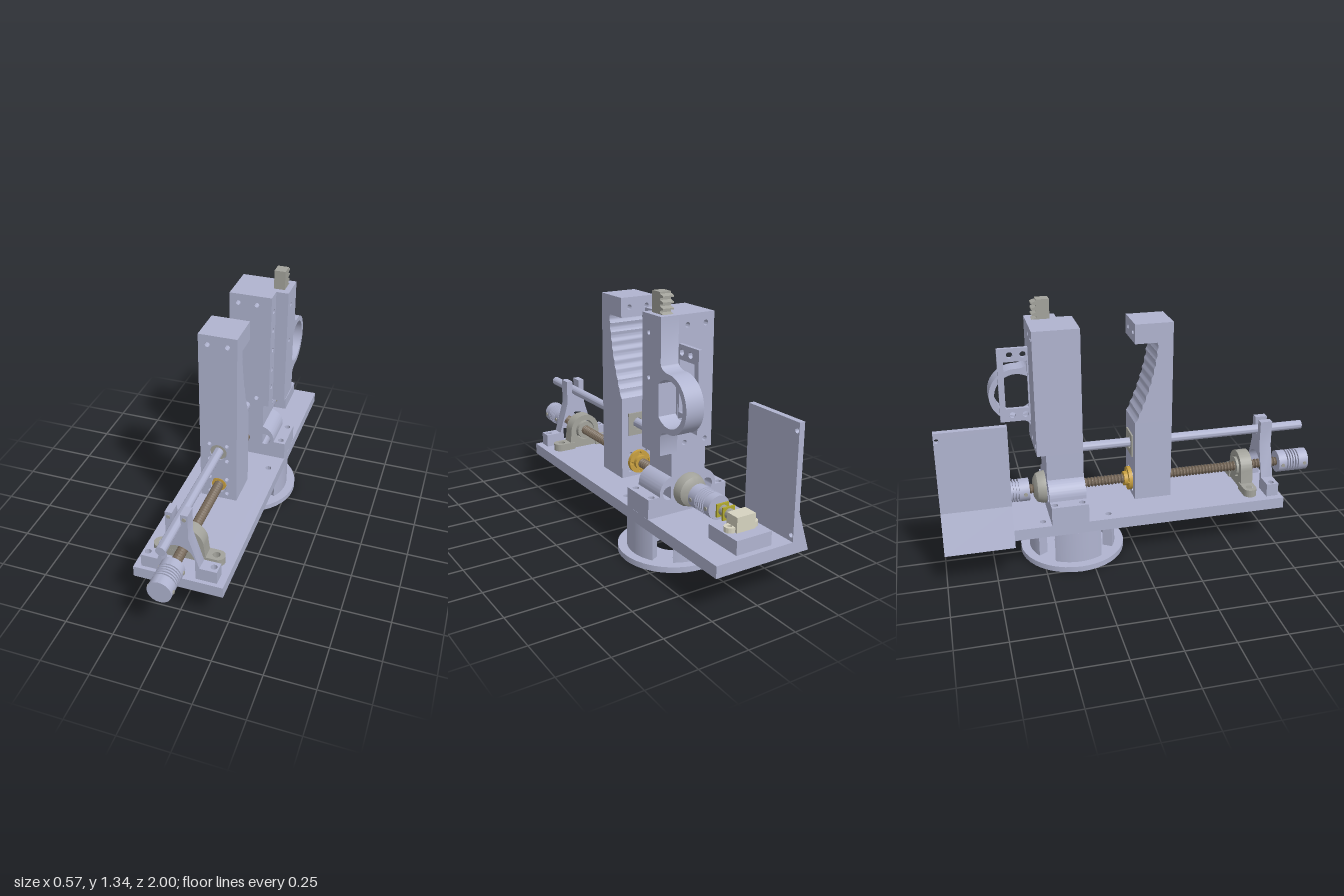
import * as THREE from 'three';
import { toCreasedNormals, mergeGeometries } from 'three/addons/utils/BufferGeometryUtils.js';

const BODY = 0xb0b4d0, STEEL = 0xa3a39c, SCREW = 0x77695a, CREAM = 0xd6d3c0, BRASS = 0xc8a040, YELLOW = 0xb0a82c;
const CX = 0.007, ROD_Y = 0.575, SCREW_Y = 0.365;

export function createModel() {
  const root = new THREE.Group();

  const add = (name, geo, color = BODY) => {
    const m = new THREE.Mesh(toCreasedNormals(geo, 0.6), new THREE.MeshStandardMaterial({ color }));
    m.name = name;
    root.add(m);
    return m;
  };
  const poly = (pts) => new THREE.Shape(pts.map(([a, b]) => new THREE.Vector2(a, b)));
  const rect = (a0, a1, b0, b1) => poly([[a0, b0], [a1, b0], [a1, b1], [a0, b1]]);
  const disc = (a, b, r) => new THREE.Shape().absarc(a, b, r, 0, Math.PI * 2, false);
  const drill = (shape, r, pts) => {
    pts.forEach(([a, b]) => shape.holes.push(new THREE.Path().absarc(a, b, r, 0, Math.PI * 2, true)));
    return shape;
  };
  // Extrude along an axis; for x and y the shape uses -z as its second direction
  const ext = (shape, axis, from, to) => {
    const g = new THREE.ExtrudeGeometry(shape, { depth: to - from, bevelEnabled: false, curveSegments: 20 });
    g.translate(0, 0, from);
    if (axis === 'x') g.rotateY(Math.PI / 2);
    if (axis === 'y') g.rotateX(-Math.PI / 2);
    return g;
  };
  const box = (x0, x1, y0, y1, z0, z1) =>
    new THREE.BoxGeometry(x1 - x0, y1 - y0, z1 - z0).translate((x0 + x1) / 2, (y0 + y1) / 2, (z0 + z1) / 2);
  // Turned part along z from [radius, z] pairs, z rising
  const turn = (pts, y, x = CX) =>
    new THREE.LatheGeometry(pts.map(([r, z]) => new THREE.Vector2(r, z)), 32).rotateX(Math.PI / 2).translate(x, y, 0);
  const bar = (r, z0, z1, y, x) => turn([[0, z0], [r, z0], [r, z1], [0, z1]], y, x);

  // Round foot: drilled flange and four curved posts
  const bolts = [...Array(6)].map((_, i) => [CX + 0.2 * Math.cos(i * Math.PI / 3 + 0.5), 0.325 + 0.2 * Math.sin(i * Math.PI / 3 + 0.5)]);
  add('footFlange', ext(drill(drill(disc(CX, 0.325, 0.275), 0.095, [[CX, 0.325]]), 0.011, bolts), 'y', 0, 0.03));
  for (let i = 0; i < 4; i++) {
    const a = i * Math.PI / 2, h = 0.56;
    const post = new THREE.Shape().absarc(CX, 0.325, 0.228, a - h, a + h, false).absarc(CX, 0.325, 0.175, a + h, a - h, true);
    add('footPost', ext(post, 'y', 0.03, 0.2));
  }

  // Base plate
  add('basePlate', ext(drill(rect(-0.22, 0.235, -0.79, 1), 0.016,
    [[-0.165, 0.5], [-0.165, 0.16], [0.175, 0.16], [-0.19, 0.44], [-0.19, 0.3], [0.205, 0.44], [0.205, 0.3],
      [-0.16, -0.73], [0.173, -0.73]]), 'y', 0.2, 0.26));

  // Moving jaw: drilled lower block, scalloped grip, drilled head
  const around = (y) => [[-1, -1], [1, -1], [1, 1], [-1, 1]].map(([a, b]) => [CX + a * 0.046, y + b * 0.046]);
  const jawLow = drill(rect(-0.09, 0.105, 0.285, 0.72), 0.045, [[CX, ROD_Y], [CX, SCREW_Y]]);
  drill(jawLow, 0.011, [...around(ROD_Y), ...around(SCREW_Y)]);
  const grip = [[-0.195, 1.14], [-0.195, 0.72]];
  for (let i = 0; i <= 64; i++) {
    const t = i / 64;
    grip.push([-0.112 * (1 - (1 - t) ** 1.7) - 0.007 * Math.abs(Math.sin(t * 9 * Math.PI)), 0.72 + 0.42 * t]);
  }
  add('jawLowerBlock', ext(jawLow, 'z', 0, 0.195));
  add('jawGrip', ext(poly(grip), 'x', -0.09, 0.105));
  add('jawHead', ext(drill(rect(-0.09, 0.105, 1.14, 1.24), 0.013, [[CX - 0.05, 1.19], [CX + 0.05, 1.19]]), 'z', 0, 0.195));
  add('rodBushing', ext(drill(disc(CX, ROD_Y, 0.043), 0.027, [[CX, ROD_Y]]), 'z', 0.005, 0.19), STEEL);
  add('bushingPlate', ext(drill(rect(CX - 0.06, CX + 0.06, ROD_Y - 0.06, ROD_Y + 0.06), 0.034, [[CX, ROD_Y]]), 'z', -0.008, 0), STEEL);
  add('screwNutFlange', ext(drill(disc(CX, SCREW_Y, 0.062), 0.008,
    [...Array(4)].map((_, i) => [CX + 0.048 * Math.cos(i * Math.PI / 2), SCREW_Y + 0.048 * Math.sin(i * Math.PI / 2)])), 'z', -0.02, 0), BRASS);
  add('screwNutBody', bar(0.038, -0.04, 0.19, SCREW_Y), BRASS);

  // Guide rod and threaded screw
  add('guideRod', bar(0.024, -0.3, 0.96, ROD_Y));
  const thread = [[0, -0.56]];
  for (let z = -0.56; z < 0.84; z += 0.018) thread.push([0.019, z], [0.026, z + 0.006], [0.026, z + 0.01]);
  thread.push([0, thread.at(-1)[1]]);
  add('leadScrew', turn(thread, SCREW_Y), SCREW);

  // Flexible couplings with cut grooves and clamp screws
  for (const [z0, z1] of [[0.83, 1], [-0.71, -0.545]]) {
    const pts = [[0, z0], [0.06, z0]], step = (z1 - z0) / 11;
    for (let i = 3; i < 8; i++) {
      const z = z0 + i * step;
      pts.push([0.06, z], [0.045, z], [0.045, z + step * 0.45], [0.06, z + step * 0.45]);
    }
    pts.push([0.06, z1], [0, z1]);
    add('coupling', turn(pts, SCREW_Y));
    for (const z of [z0 + 0.022, z1 - 0.022]) for (const s of [-1, 1])
      add('couplingScrew', new THREE.CylinderGeometry(0.01, 0.01, 0.012, 12).rotateZ(Math.PI / 2).translate(CX + s * 0.058, SCREW_Y, z), STEEL);
  }

  // Front A-shaped rod support
  const aFrame = new THREE.Shape();
  [[-0.115, 0.26], [-0.115, 0.3], [-0.055, 0.5], [-0.055, 0.635], [-0.02, 0.635], [-0.02, ROD_Y]]
    .forEach(([x, y], i) => (i ? aFrame.lineTo(CX + x, y) : aFrame.moveTo(CX + x, y)));
  aFrame.absarc(CX, ROD_Y, 0.025, Math.PI * 1.1, Math.PI * 1.9, false);
  [[0.02, ROD_Y], [0.02, 0.635], [0.055, 0.635], [0.055, 0.5], [0.115, 0.3], [0.115, 0.26], [0.085, 0.26]]
    .forEach(([x, y]) => aFrame.lineTo(CX + x, y));
  aFrame.absarc(CX, 0.36, 0.085, 0, Math.PI, false).lineTo(CX - 0.085, 0.26);
  add('rodSupport', ext(aFrame, 'z', 0.705, 0.77));
  for (const s of [-1, 1]) {
    const a = CX + s * 0.105, b = CX + s * 0.192;
    add('rodSupportFoot', ext(drill(rect(Math.min(a, b), Math.max(a, b), -0.77, -0.705), 0.016, [[CX + s * 0.167, -0.737]]), 'y', 0.26, 0.33));
    add('supportClampScrew', new THREE.CylinderGeometry(0.01, 0.01, 0.006, 12).rotateX(Math.PI / 2).translate(CX + s * 0.038, 0.61, 0.771), STEEL);
  }

  // Pillow block bearing
  const arch = new THREE.Shape().moveTo(CX - 0.1, 0.265).lineTo(CX + 0.1, 0.265).lineTo(CX + 0.088, SCREW_Y)
    .absarc(CX, SCREW_Y, 0.088, 0, Math.PI, false);
  add('pillowHousing', ext(drill(arch, 0.058, [[CX, SCREW_Y]]), 'z', 0.595, 0.66), STEEL);
  add('pillowInsert', ext(drill(disc(CX, SCREW_Y, 0.05), 0.027, [[CX, SCREW_Y]]), 'z', 0.585, 0.67), STEEL);
  for (const s of [-1, 1]) {
    const foot = new THREE.Shape().absarc(CX + s * 0.148, -0.625, 0.036, -Math.PI / 2, Math.PI / 2, s < 0)
      .lineTo(CX + s * 0.07, -0.589).lineTo(CX + s * 0.07, -0.661);
    add('pillowFoot', ext(drill(foot, 0.019, [[CX + s * 0.14, -0.625]]), 'y', 0.26, 0.3), STEEL);
  }

  // Fixed column with saddle and side steps
  const topHoles = [[CX - 0.05, 1.19], [CX + 0.05, 1.19], [CX - 0.058, 0.632], [CX + 0.058, 0.632]];
  add('columnUpper', ext(drill(rect(-0.09, 0.105, 0.59, 1.24), 0.013, topHoles), 'z', -0.505, -0.27));
  add('columnLower', box(-0.09, 0.105, 0.26, 0.59, -0.46, -0.27));
  for (const s of [-1, 1]) {
    const c = CX + s * 0.08;
    const wing = new THREE.Shape().moveTo(c - 0.083, 0.26).lineTo(c + 0.083, 0.26).lineTo(c + 0.083, 0.37)
      .absarc(c, 0.37, 0.083, 0, Math.PI, false);
    add('saddleWing', ext(drill(wing, 0.034, [[CX + s * 0.11, 0.37]]), 'z', -0.46, -0.27));
    const a = CX + s * 0.16, b = CX + s * 0.2275;
    add('saddleStep', ext(drill(rect(Math.min(a, b), Math.max(a, b), 0.27, 0.46), 0.016,
      [[CX + s * 0.1975, 0.3], [CX + s * 0.1975, 0.44]]), 'y', 0.26, 0.36));
  }
  add('rearBearing', turn([[0, -0.52], [0.05, -0.52], [0.075, -0.505], [0.085, -0.475], [0.085, -0.455], [0, -0.455]], 0.37), STEEL);

  // Column rail and sliding carrier with finger ring
  add('sideRail', ext(drill(rect(0.27, 0.35, 0.59, 1.24), 0.013, [0.69, 0.8, 0.92, 1.035, 1.145].map((y) => [0.315, y])), 'x', 0.105, 0.135));
  const ring = new THREE.Shape().moveTo(0.35, 0.59).lineTo(0.505, 0.59).lineTo(0.505, 0.68)
    .quadraticCurveTo(0.51, 0.715, 0.57, 0.715).absarc(0.57, 0.855, 0.14, -Math.PI / 2, Math.PI / 2, false)
    .quadraticCurveTo(0.51, 0.995, 0.505, 1.03).lineTo(0.505, 1.24).lineTo(0.35, 1.24);
  ring.holes.push(new THREE.Path().absarc(0.57, 0.855, 0.112, -2.37, 2.37, false));
  add('ringCarrier', ext(drill(ring, 0.012, [[0.405, 0.945], [0.405, 1.155]]), 'x', 0.105, 0.2));

  // Toothed rack rising out of the carrier
  const rack = [[0.385, 1.34], [0.385, 1.2]];
  for (let y = 1.2; y < 1.335; y += 0.028) rack.push([0.45, y], [0.475, y + 0.005], [0.475, y + 0.012], [0.45, y + 0.02]);
  rack.push([0.45, 1.34]);
  add('rack', ext(poly(rack), 'x', 0.112, 0.17), STEEL);

  // Open mounting frame behind the column
  const frame = drill(rect(0.48, 0.66, 0.72, 1.11), 0.016, [[0.53, 1.075], [0.597, 1.075], [0.53, 0.755], [0.597, 0.755]]);
  frame.holes.push(new THREE.Path(rect(0.512, 0.63, 0.79, 1.04).getPoints().reverse()));
  add('mountFrame', ext(frame, 'x', 0.085, 0.104));

  // Rear motor on its pedestal
  add('motorPedestal', box(-0.09, 0.105, 0.26, 0.33, -0.97, -0.765));
  add('motor', box(CX - 0.052, CX + 0.052, 0.33, 0.405, -0.91, -0.835), CREAM);
  for (const s of [-1, 1])
    add('motorLug', ext(drill(disc(CX + s * 0.062, 0.872, 0.028), 0.012, [[CX + s * 0.066, 0.872]]), 'y', 0.33, 0.355), CREAM);
  add('gearbox', mergeGeometries([box(CX - 0.034, CX + 0.034, 0.335, 0.398, -0.785, -0.775),
    box(CX - 0.034, CX + 0.034, 0.335, 0.398, -0.74, -0.73)]), YELLOW);
  add('gears', bar(0.026, -0.84, -0.735, SCREW_Y), STEEL);
  add('motorShaft', bar(0.012, -0.74, -0.7, SCREW_Y), STEEL);

  // Side panel with sloped foot
  add('sidePanel', ext(drill(rect(0.655, 1, 0.26, 0.825), 0.012, [[0.985, 0.785], [0.985, 0.29], [0.67, 0.29]]), 'x', -0.22, -0.19));
  add('sidePanelFoot', ext(poly([[-0.285, 0.2], [-0.22, 0.2], [-0.22, 0.4]]), 'z', -1, -0.655));

  return root;
}
